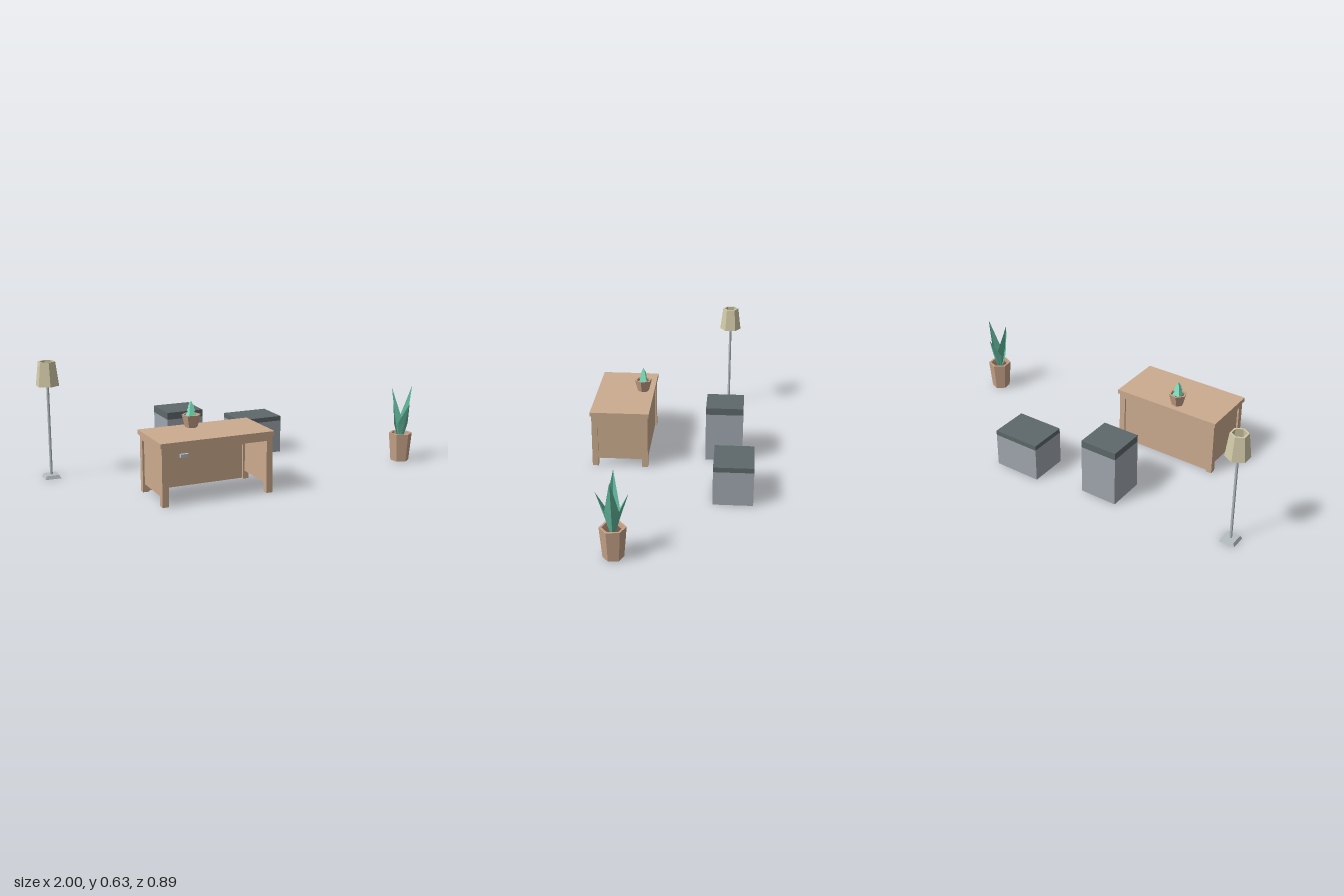
import * as THREE from 'three';

const mat = (name, color) => Object.assign(new THREE.MeshStandardMaterial({ color, flatShading: true }), { name });

export function createModel() {
  const wood = mat('wood', 0xcbab8e);
  const clay = mat('clay', 0xc6a288);
  const soil = mat('soil', 0x6e5646);
  const steel = mat('cabinetGrey', 0x9fa6ae);
  const slate = mat('slate', 0x5e686a);
  const metal = mat('metal', 0xb6bec2);
  const fabric = mat('lampFabric', 0xd3caa8);
  const leafGreen = mat('leafGreen', 0x62b79c);
  const cactusGreen = mat('cactusGreen', 0x7bdcba);
  leafGreen.side = THREE.DoubleSide;

  const model = new THREE.Group();
  const group = (name, x = 0, y = 0, z = 0) => {
    const g = new THREE.Group();
    g.name = name;
    g.position.set(x, y, z);
    model.add(g);
    return g;
  };
  const add = (parent, name, geometry, material, x = 0, y = 0, z = 0) => {
    const m = new THREE.Mesh(geometry, material);
    m.name = name;
    m.position.set(x, y, z);
    parent.add(m);
    return m;
  };
  // Box given by its minimum and maximum corners
  const box = (parent, name, material, x0, x1, y0, y1, z0, z1) =>
    add(parent, name, new THREE.BoxGeometry(x1 - x0, y1 - y0, z1 - z0), material,
      (x0 + x1) / 2, (y0 + y1) / 2, (z0 + z1) / 2);
  const lathe = (points, sides) =>
    new THREE.LatheGeometry(points.map(([r, y]) => new THREE.Vector2(r, y)), sides);

  // Desk: top, four legs, rails and recessed panels
  const desk = group('desk');
  const [x0, x1, z0, z1, leg] = [-0.596, -0.003, 0.132, 0.439, 0.033];
  box(desk, 'deskTop', wood, -0.604, 0.004, 0.297, 0.32, 0.124, 0.446);
  for (const x of [x0, x1 - leg]) {
    for (const z of [z0, z1 - leg]) box(desk, 'deskLeg', wood, x, x + leg, 0, 0.297, z, z + leg);
    box(desk, 'sideRail', wood, x, x + leg, 0.272, 0.297, z0 + leg, z1 - leg);
    box(desk, 'sidePanel', wood, x + 0.01, x + leg - 0.01, 0.042, 0.272, z0 + leg, z1 - leg);
  }
  for (const z of [z0, z1 - leg]) box(desk, 'longRail', wood, x0 + leg, x1 - leg, 0.272, 0.297, z, z + leg);
  box(desk, 'backPanel', wood, x0 + leg, x1 - leg, 0.003, 0.272, z0 + 0.01, z0 + leg - 0.01);
  box(desk, 'drawer', wood, x0 + leg, -0.376, 0.202, 0.272, z0 + leg, z1 - 0.006);
  box(desk, 'drawerHandle', metal, -0.502, -0.462, 0.241, 0.258, z1 - 0.006, 0.448);

  // Two cabinets with dark tops
  const cabinet = (name, ax, bx, h, lid, az, bz) => {
    const g = group(name);
    box(g, 'cabinetBody', steel, ax, bx, 0, h - lid, az, bz);
    box(g, 'cabinetTop', slate, ax, bx, h - lid, h, az, bz);
  };
  cabinet('tallCabinet', -0.325, -0.119, 0.313, 0.038, -0.386, -0.18);
  cabinet('lowCabinet', 0.134, 0.397, 0.212, 0.026, -0.447, -0.238);

  // Floor lamp: square bevelled foot, pole, open six-sided shade
  const lamp = group('floorLamp', -0.947, 0, -0.293);
  add(lamp, 'lampFoot', new THREE.CylinderGeometry(0.048, 0.059, 0.018, 4), metal, 0, 0.009, 0).rotation.y = Math.PI / 4;
  add(lamp, 'lampPole', new THREE.CylinderGeometry(0.0075, 0.0075, 0.54, 8), metal, 0, 0.285, 0);
  add(lamp, 'lampShade', lathe([[0.052, 0.498], [0.062, 0.498], [0.046, 0.626], [0.036, 0.626], [0.052, 0.498]], 6), fabric);

  // Six-sided plant pot with a rim and sunken soil
  const pot = (parent, rTop, rBottom, h, turn) => {
    const inner = rTop * 0.8;
    add(parent, 'plantPot', lathe([[0, 0], [rBottom, 0], [rTop, h], [inner, h], [inner * 0.96, h * 0.85]], 6), clay).rotation.y = turn;
    add(parent, 'potSoil', new THREE.CylinderGeometry(inner * 0.97, inner * 0.9, h * 0.1, 6), soil, 0, h * 0.82, 0).rotation.y = turn;
  };

  // Small cactus on the desk: stacked four-sided tiers
  const cactus = group('deskCactus', -0.338, 0.32, 0.186);
  pot(cactus, 0.049, 0.032, 0.065, 0.3);
  [[0.058, 0.032, 0.032, 0.012], [0.084, 0.027, 0.024, 0.009], [0.103, 0.034, 0.019, 0]].forEach(([y, h, r, top]) => {
    add(cactus, 'cactusTier', new THREE.CylinderGeometry(top, r, h, 4), cactusGreen, 0, y + h / 2, 0).rotation.y = Math.PI / 4;
  });

  // Tall plant: four pointed, keeled leaves
  const plant = group('floorPlant', 0.928, 0, 0.204);
  pot(plant, 0.065, 0.051, 0.158, 0.13);
  const leafGeometry = (tipY, tipOut) => {
    // Each section: height, keel offset, edge offset, half width
    const rows = [
      [0.125, 0.012, 0.006, 0.012],
      [0.125 + (tipY - 0.125) * 0.42, 0.038, 0.018, 0.034],
      [tipY, tipOut, tipOut, 0.0005],
    ];
    const verts = rows.flatMap(([y, keel, edge, w]) => [-w, y, edge, 0, y, keel, w, y, edge]);
    const index = [];
    for (const r of [0, 3]) {
      for (const c of [0, 1]) {
        const a = r + c;
        index.push(a, a + 1, a + 4, a, a + 4, a + 3);
      }
    }
    const g = new THREE.BufferGeometry();
    g.setAttribute('position', new THREE.Float32BufferAttribute(verts, 3));
    g.setIndex(index);
    g.computeVertexNormals();
    return g;
  };
  for (let i = 0; i < 4; i++) {
    const tall = i % 2 === 1;
    add(plant, 'plantLeaf', leafGeometry(tall ? 0.42 : 0.336, tall ? 0.067 : 0.077), leafGreen).rotation.y = i * Math.PI / 2;
  }
  return model;
}
